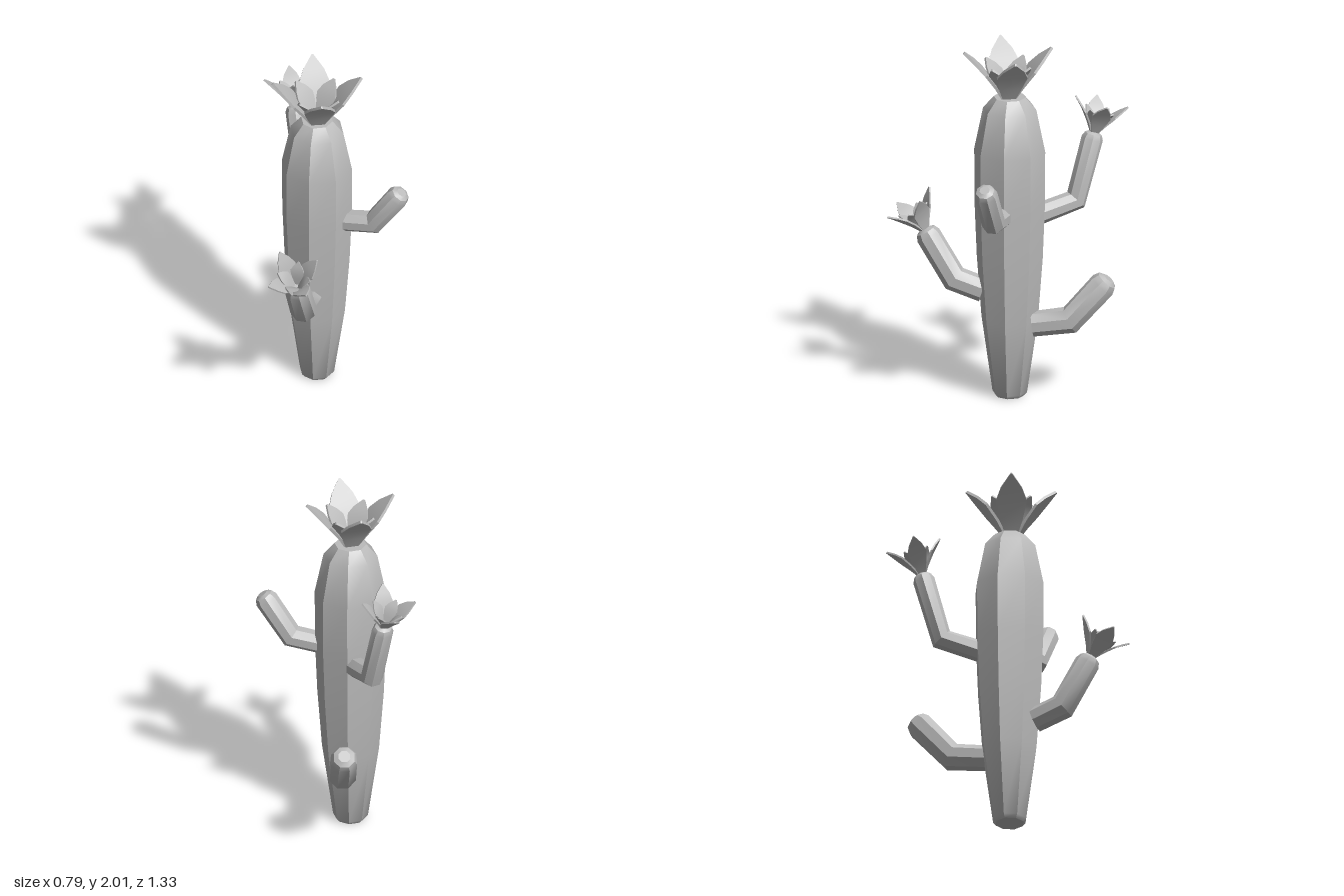
import * as THREE from 'three';
import { toCreasedNormals } from 'three/addons/utils/BufferGeometryUtils.js';

const V = (x, y, z) => new THREE.Vector3(x, y, z);
const plantGrey = new THREE.MeshStandardMaterial({ color: 0xbcbcbc });
plantGrey.name = 'plantGrey';

// Skins a closed solid over rings of points, with a flat cap at each end.
function skin(rings) {
  const n = rings[0].length, last = rings.length - 1;
  const pos = rings.flat().flatMap((p) => [p.x, p.y, p.z]);
  const idx = [];
  for (let i = 0; i < last; i++) {
    for (let j = 0; j < n; j++) {
      const k = (j + 1) % n;
      const a = i * n + j, b = i * n + k, c = a + n, d = b + n;
      idx.push(a, b, d, a, d, c);
    }
  }
  for (let j = 1; j < n - 1; j++) {
    idx.push(0, j + 1, j);
    idx.push(last * n, last * n + j, last * n + j + 1);
  }
  const geo = new THREE.BufferGeometry();
  geo.setAttribute('position', new THREE.Float32BufferAttribute(pos, 3));
  geo.setIndex(idx);
  return toCreasedNormals(geo, Math.PI / 6);
}

// Faceted stem through centres c with radii r; u is the direction across the path.
function stem(name, stations, u, phase, sides = 8) {
  const rings = stations.map(([c, r], i) => {
    const prev = stations[Math.max(i - 1, 0)][0];
    const next = stations[Math.min(i + 1, stations.length - 1)][0];
    const t = next.clone().sub(c).normalize().add(c.clone().sub(prev).normalize()).normalize();
    const v = t.clone().cross(u);
    return Array.from({ length: sides }, (_, j) => {
      const a = phase + (j / sides) * Math.PI * 2;
      return c.clone().addScaledVector(u, r * Math.cos(a)).addScaledVector(v, r * Math.sin(a));
    });
  });
  const mesh = new THREE.Mesh(skin(rings), plantGrey);
  mesh.name = name;
  return mesh;
}

// Arm with one elbow and a bevelled end; returns its mesh and growing direction.
function arm(name, start, elbow, tip, r0, r1) {
  const dir = tip.clone().sub(elbow).normalize();
  const u = V(0, 1, 0).cross(V(tip.x - start.x, 0, tip.z - start.z)).normalize();
  const back = (d) => tip.clone().addScaledVector(dir, -d);
  const mesh = stem(name, [
    [start, r0], [elbow, (r0 + r1) / 2 * 1.06],
    [back(r1 * 0.65), r1], [back(r1 * 0.2), r1 * 0.8], [tip, r1 * 0.45],
  ], u, Math.PI / 8);
  return { mesh, dir };
}

// Thin curved petal; rows hold [outward, up, half width].
function petalGeometry(rows, thick) {
  const u = V(1, 0, 0);
  return skin(rows.map(([r, y, w], i) => {
    const p = rows[Math.max(i - 1, 0)], q = rows[Math.min(i + 1, rows.length - 1)];
    const v = V(0, q[1] - p[1], q[0] - p[0]).normalize().cross(u);
    return [[1, 1], [-1, 1], [-1, -1], [1, -1]].map(([sx, sv]) =>
      V(sx * w, y, r).addScaledVector(v, sv * thick / 2));
  }));
}
const outerPetal = petalGeometry(
  [[0.03, 0, 0.032], [0.075, 0.08, 0.062], [0.135, 0.165, 0.085], [0.185, 0.22, 0.058], [0.245, 0.278, 0.004]], 0.015);
const innerPetal = petalGeometry(
  [[0.02, 0, 0.025], [0.05, 0.07, 0.05], [0.085, 0.135, 0.062], [0.115, 0.17, 0.042], [0.15, 0.205, 0.004]], 0.012);

// Four long petals with four short ones between them.
function flower(name, at, dir, scale, yaw) {
  const g = new THREE.Group();
  g.name = name;
  for (let i = 0; i < 8; i++) {
    const inner = i % 2 === 1;
    const petal = new THREE.Mesh(inner ? innerPetal : outerPetal, plantGrey);
    petal.name = inner ? 'innerPetal' : 'outerPetal';
    petal.rotation.y = yaw + (i * Math.PI) / 4;
    g.add(petal);
  }
  g.position.copy(at);
  g.quaternion.setFromUnitVectors(V(0, 1, 0), dir);
  g.scale.setScalar(scale);
  return g;
}

export function createModel() {
  const model = new THREE.Group();
  model.name = 'floweringCactus';

  // Trunk
  const cx = -0.105, cz = 0.01;
  const profile = [
    [0, 0.08], [0.02, 0.096], [0.45, 0.157], [0.8, 0.183], [1.1, 0.195],
    [1.42, 0.197], [1.66, 0.148], [1.73, 0.088],
  ];
  model.add(stem('trunk', profile.map(([y, r]) => [V(cx, y, cz), r]),
    V(0, 0, 1), THREE.MathUtils.degToRad(-16)));
  model.add(flower('topFlower', V(cx, 1.722, 0.02), V(0, 1, 0), 1, 0.06));

  // Bare arms
  model.add(arm('leftArm', V(0.03, 1.08, 0.07), V(0.2, 1.11, 0.135), V(0.35, 1.355, 0.2), 0.06, 0.064).mesh);
  model.add(arm('lowerBackArm', V(-0.035, 0.43, -0.106), V(0, 0.458, -0.31), V(0.03, 0.7, -0.52), 0.07, 0.077).mesh);

  // Flowering arms
  const backTip = V(-0.2, 1.475, -0.465);
  const backArm = arm('upperBackArm', V(-0.1, 1.045, -0.15), V(-0.155, 1.1, -0.36), backTip, 0.06, 0.06);
  model.add(backArm.mesh, flower('backFlower', backTip, backArm.dir, 0.62, 0.06));

  const frontTip = V(-0.24, 0.935, 0.465);
  const frontArm = arm('frontArm', V(-0.15, 0.6, 0.15), V(-0.195, 0.655, 0.305), frontTip, 0.07, 0.07);
  model.add(frontArm.mesh, flower('frontFlower', frontTip, frontArm.dir, 0.62, 0.42));

  return model;
}
